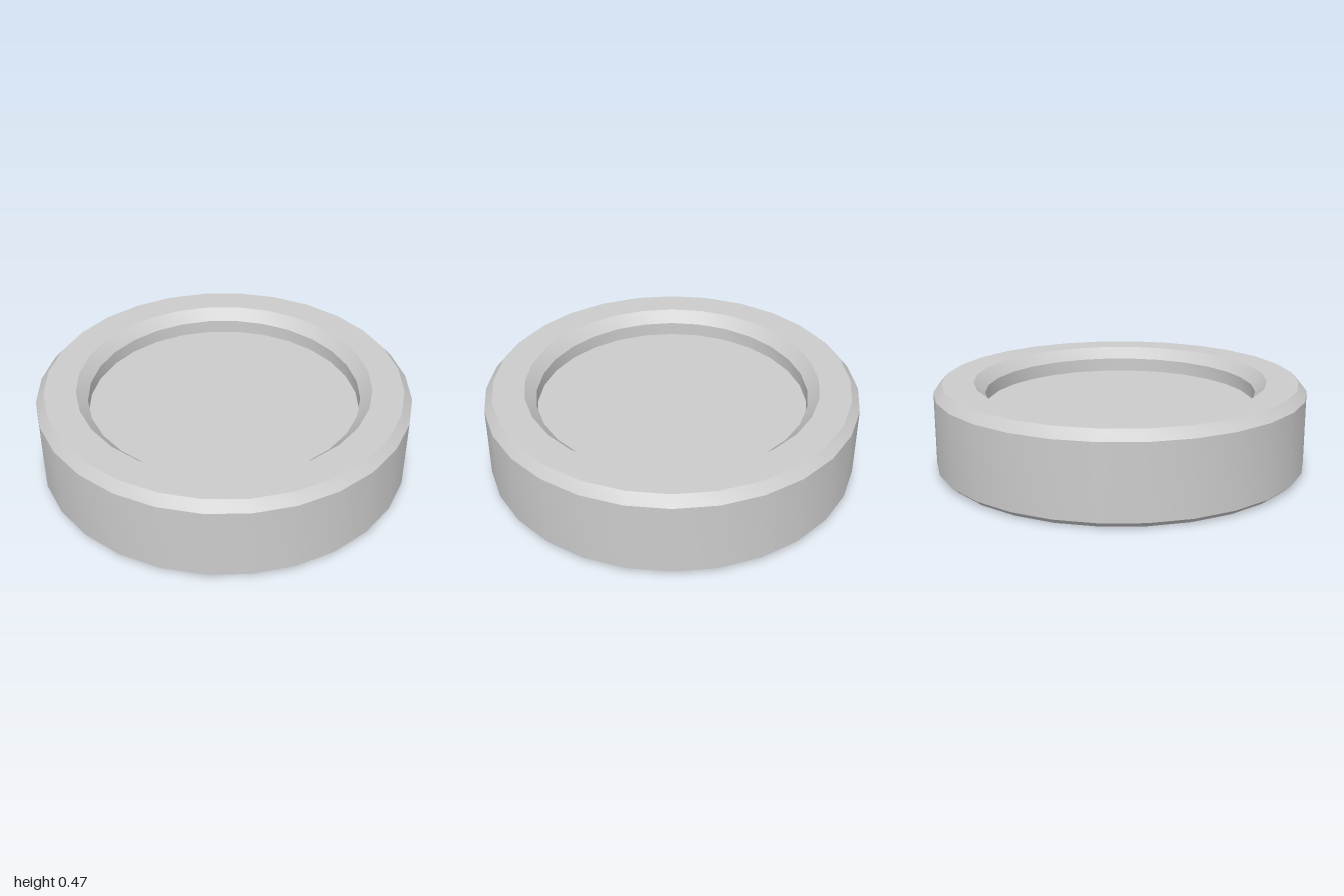
import * as THREE from 'three';
import { toCreasedNormals } from 'three/addons/utils/BufferGeometryUtils.js';

const SIDES = 28;

export function createModel() {
  const group = new THREE.Group();
  group.name = 'recessedDisc';
  const material = new THREE.MeshStandardMaterial({ color: 0xcccccc });

  // Turn a [radius, height] profile, keeping the bevel edges sharp
  const turned = (name, profile) => {
    const points = profile.map(([r, y]) => new THREE.Vector2(r, y));
    const geometry = toCreasedNormals(new THREE.LatheGeometry(points, SIDES), Math.PI / 6);
    const mesh = new THREE.Mesh(geometry, material);
    mesh.name = name;
    group.add(mesh);
  };

  // Bevelled outer wall, flat rim and stepped inner wall
  turned('rim', [
    [0.965, 0], [1, 0.03], [1, 0.42], [0.955, 0.47],
    [0.787, 0.47], [0.728, 0.41], [0.728, 0.335],
  ]);

  // Flat discs closing the recess and the underside
  const disc = (name, radius, y, tilt) => {
    const mesh = new THREE.Mesh(new THREE.CircleGeometry(radius, SIDES), material);
    mesh.name = name;
    mesh.position.y = y;
    mesh.rotation.x = tilt;
    group.add(mesh);
  };
  disc('recessFloor', 0.728, 0.335, -Math.PI / 2);
  disc('underside', 0.965, 0, Math.PI / 2);

  return group;
}
